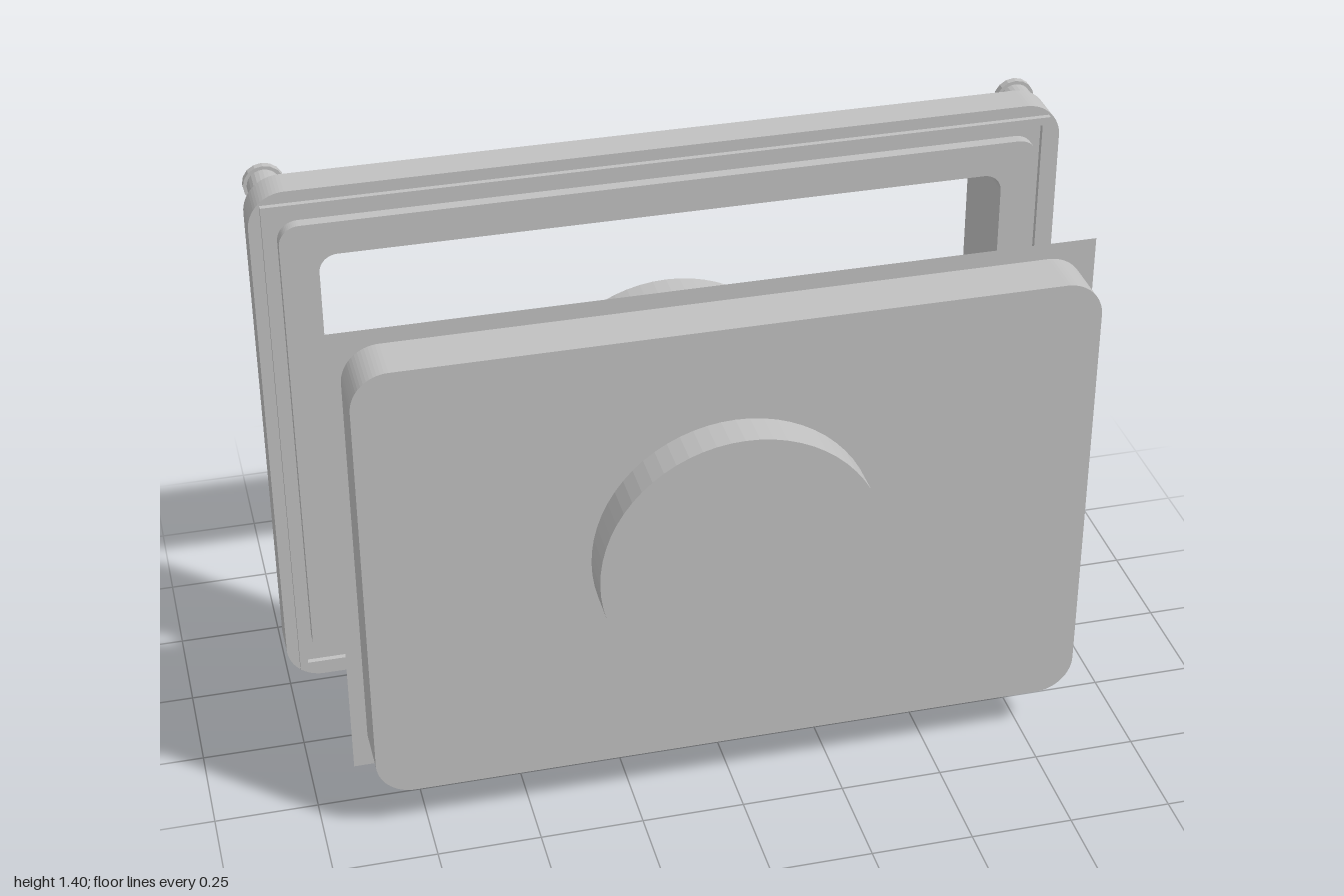
import * as THREE from 'three';

const CY = 0.7; // height of the common axis

// Rectangle outline centred on the origin, with optional rounded corners
function rectPath(PathType, w, h, r = 0) {
  const p = new PathType();
  const x = w / 2, y = h / 2;
  if (r === 0) {
    return p.moveTo(-x, -y).lineTo(x, -y).lineTo(x, y).lineTo(-x, y).closePath();
  }
  p.moveTo(-x + r, -y).lineTo(x - r, -y);
  p.absarc(x - r, -y + r, r, -Math.PI / 2, 0);
  p.lineTo(x, y - r).absarc(x - r, y - r, r, 0, Math.PI / 2);
  p.lineTo(-x + r, y).absarc(-x + r, y - r, r, Math.PI / 2, Math.PI);
  p.lineTo(-x, -y + r).absarc(-x + r, -y + r, r, Math.PI, Math.PI * 1.5);
  return p;
}

// Extrudes a shape from z0 (back) to z1 (front)
function slab(shape, z0, z1, steps = 1) {
  const g = new THREE.ExtrudeGeometry(shape, { depth: z1 - z0, steps, bevelEnabled: false, curveSegments: 8 });
  return g.translate(0, 0, z0);
}

// Rectangular ring; outer and inner are [width, height, cornerRadius]
function ring(outer, inner, z0, z1) {
  const s = rectPath(THREE.Shape, ...outer);
  s.holes.push(rectPath(THREE.Path, ...inner));
  return slab(s, z0, z1);
}

export function createModel() {
  const root = new THREE.Group();
  root.name = 'framedPlateAssembly';
  const grey = new THREE.MeshStandardMaterial({ color: 0xc0c0c0, flatShading: true });
  grey.name = 'grey';
  const greySheet = grey.clone();
  greySheet.side = THREE.DoubleSide;

  const add = (name, geometry, parent = root, y = CY, material = grey) => {
    const m = new THREE.Mesh(geometry, material);
    m.name = name;
    m.position.y = y;
    parent.add(m);
    return m;
  };

  // Front plate, chamfered around its back edge
  const W = 1.74, H = 1.16, zBack = 0.243, zFront = 0.393, chamfer = 0.022;
  const plate = slab(rectPath(THREE.Shape, W, H, 0.09), zBack, zFront, 2);
  const p = plate.attributes.position;
  for (let i = 0; i < p.count; i++) {
    const z = p.getZ(i);
    if (z < zBack + 0.01) {
      p.setX(i, p.getX(i) * (1 - 2 * chamfer / W));
      p.setY(i, p.getY(i) * (1 - 2 * chamfer / H));
    } else if (z < zFront - 0.01) {
      p.setZ(i, zBack + chamfer);
    }
  }
  plate.computeVertexNormals();
  add('frontPlate', plate);

  // Thin sheet against the back of the plate
  add('backingSheet', new THREE.PlaneGeometry(1.81, 1.21).translate(0, 0, zBack - 0.003), root, CY, greySheet);

  // Drum through the plate
  const drum = new THREE.CylinderGeometry(0.34, 0.34, 0.755, 64);
  add('drum', drum.rotateX(Math.PI / 2).translate(0, 0, 0.1075));

  // Rear frame: deep inner ring, wide flange and a narrow seal
  const frame = new THREE.Group();
  frame.name = 'rearFrame';
  root.add(frame);
  const opening = [1.69, 1.07, 0.045];
  add('innerRing', ring([1.87, 1.24, 0.05], opening, -0.485, -0.243), frame);
  add('flange', ring([2, 1.396, 0.09], [1.86, 1.23, 0.05], -0.363, -0.273), frame);
  add('seal', ring([1.94, 1.336], [1.9, 1.296], -0.273, -0.259), frame);

  // Corner screws with a cross recess in the head
  const shaft = new THREE.CylinderGeometry(0.041, 0.041, 0.08, 24).rotateX(Math.PI / 2).translate(0, 0, -0.4);
  const disc = new THREE.Shape().absarc(0, 0, 0.05, 0, Math.PI * 2);
  const a = 0.004, b = 0.026;
  const cross = [[a, a], [a, b], [-a, b], [-a, a], [-b, a], [-b, -a], [-a, -a], [-a, -b], [a, -b], [a, -a], [b, -a], [b, a]];
  disc.holes.push(new THREE.Path(cross.map(([x, y]) => new THREE.Vector2(x, y))));
  const head = slab(disc, -0.454, -0.436);
  for (const sx of [-1, 1]) {
    for (const sy of [-1, 1]) {
      const screw = new THREE.Group();
      screw.name = 'cornerScrew';
      screw.position.set(sx * 0.94, CY + sy * 0.636, 0);
      add('screwShaft', shaft, screw, 0);
      add('screwHead', head, screw, 0);
      frame.add(screw);
    }
  }
  return root;
}
